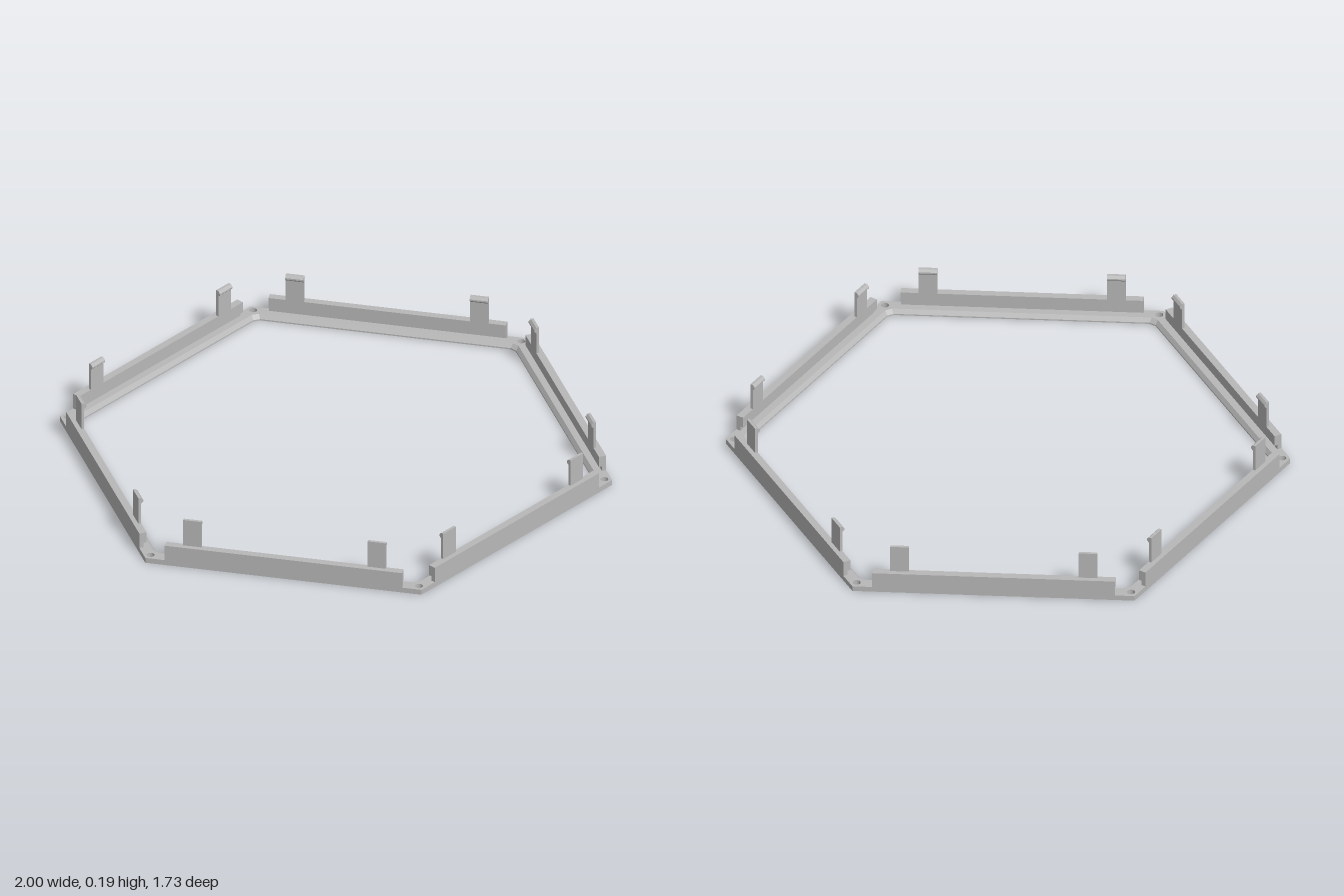
import * as THREE from 'three';

const APOTHEM = Math.sqrt(3) / 2;
const BASE_TOP = 0.02;
const LIP_TOP = 0.005;

// Hexagonal outline, counter-clockwise; inset from the outer edge, corners cut by c
function hexLoop(inset, c = 0) {
  const r = (APOTHEM - inset) / APOTHEM;
  const corners = [];
  for (let i = 0; i < 6; i++) {
    const a = (i * Math.PI) / 3;
    corners.push(new THREE.Vector2(r * Math.cos(a), r * Math.sin(a)));
  }
  if (!c) return corners;
  return corners.flatMap((p, i) => [
    p.clone().lerp(corners[(i + 5) % 6], c / r),
    p.clone().lerp(corners[(i + 1) % 6], c / r),
  ]);
}

// Flat hexagonal ring with a screw hole in each corner
function ringPlate(inset, y0, y1) {
  const shape = new THREE.Shape(hexLoop(0));
  shape.holes.push(new THREE.Path(hexLoop(inset, 0.015)));
  for (let i = 0; i < 6; i++) {
    const a = (i * Math.PI) / 3;
    const hole = new THREE.Path();
    hole.absarc(0.972 * Math.cos(a), 0.972 * Math.sin(a), 0.014, 0, Math.PI * 2, true);
    shape.holes.push(hole);
  }
  const g = new THREE.ExtrudeGeometry(shape, { depth: y1 - y0, bevelEnabled: false, curveSegments: 10 });
  return g.rotateX(-Math.PI / 2).translate(0, y0, 0);
}

// Sloping band between the wide lip and the narrower top of the ring
function innerSlope(inset0, y0, inset1, y1) {
  const lower = hexLoop(inset0, 0.015).map((p) => [p.x, y0, -p.y]);
  const upper = hexLoop(inset1, 0.015).map((p) => [p.x, y1, -p.y]);
  const pos = [];
  lower.forEach((a, i) => {
    const j = (i + 1) % lower.length;
    pos.push(...a, ...upper[i], ...upper[j], ...a, ...upper[j], ...lower[j]);
  });
  const g = new THREE.BufferGeometry();
  g.setAttribute('position', new THREE.Float32BufferAttribute(pos, 3));
  g.computeVertexNormals();
  return g;
}

// Section of [distance inward, height] points swept along one side of the hexagon
function sweepSide(section, width, x) {
  const shape = new THREE.Shape(section.map(([t, y]) => new THREE.Vector2(t, y)));
  const g = new THREE.ExtrudeGeometry(shape, { depth: width, bevelEnabled: false });
  return g.rotateY(Math.PI / 2).translate(x - width / 2, 0, APOTHEM);
}

export function createModel() {
  const model = new THREE.Group();
  model.name = 'hexagonalFrame';
  const grey = new THREE.MeshStandardMaterial({ color: 0xb8b8b8 });
  grey.name = 'grey plastic';

  const add = (parent, name, geometry) => {
    const mesh = new THREE.Mesh(geometry, grey);
    mesh.name = name;
    parent.add(mesh);
  };

  // Base ring
  add(model, 'baseLip', ringPlate(0.054, 0, LIP_TOP));
  add(model, 'basePlate', ringPlate(0.043, LIP_TOP, BASE_TOP));
  add(model, 'innerBevel', innerSlope(0.054, LIP_TOP, 0.043, BASE_TOP));

  // Wall undercut on its inner side, and clip with an inward hook
  const wall = [[0, BASE_TOP], [0.016, BASE_TOP], [0.016, 0.038], [0.027, 0.038], [0.027, 0.08], [0, 0.08]];
  const clip = [[0.017, 0.08], [0.027, 0.08], [0.027, 0.162], [0.035, 0.17], [0.035, 0.176], [0.027, 0.185], [0.017, 0.185]];

  for (let i = 0; i < 6; i++) {
    const side = new THREE.Group();
    side.name = `side${i + 1}`;
    side.rotation.y = (i * Math.PI) / 3;
    add(side, 'wall', sweepSide(wall, 0.86, 0));
    for (const s of [-1, 1]) add(side, s > 0 ? 'leftClip' : 'rightClip', sweepSide(clip, 0.066, s * 0.334));
    model.add(side);
  }
  return model;
}
